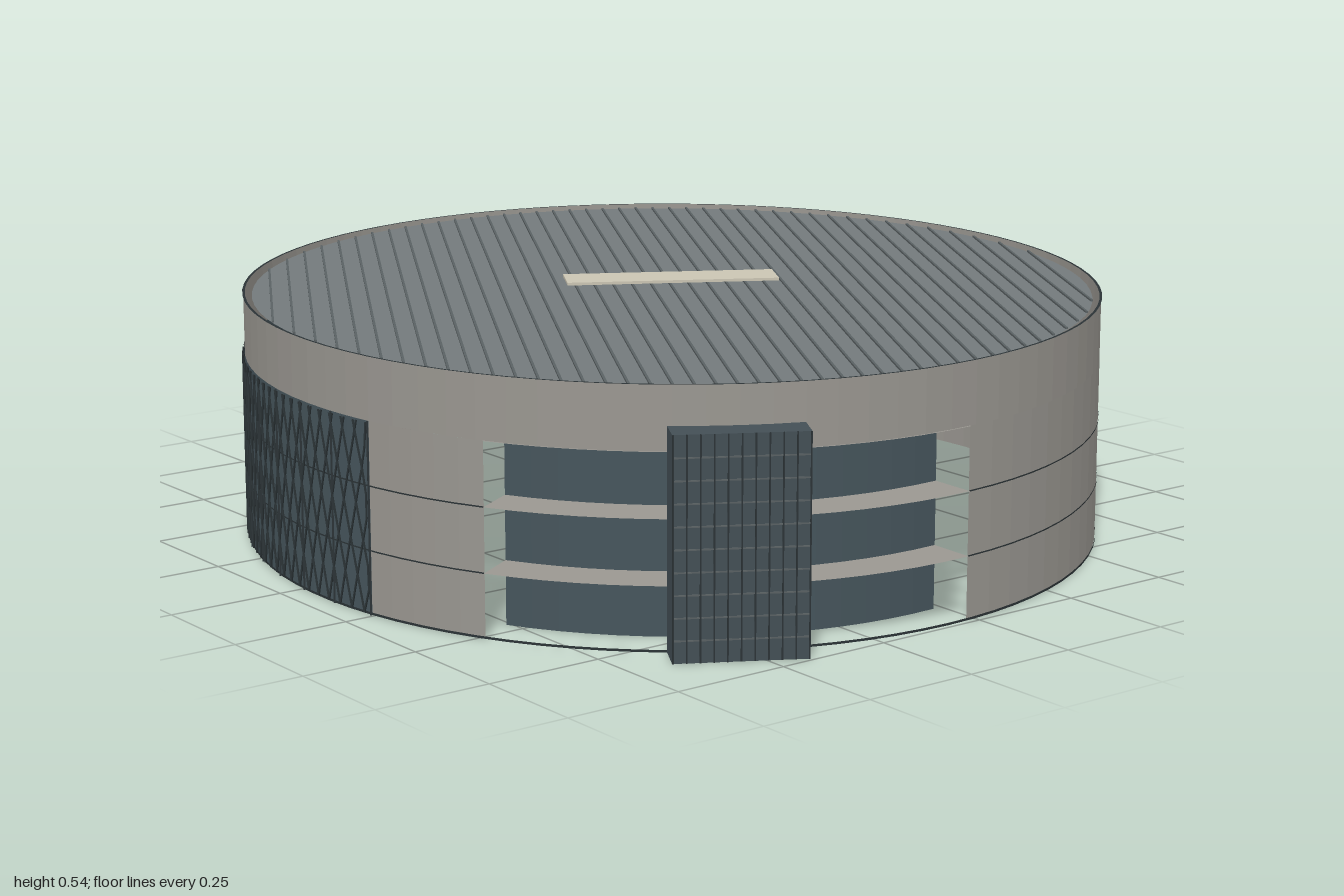
import * as THREE from 'three';

const A = 1.012, B = 0.922;            // half axes of the oval plan
const RAD = Math.PI / 180;
const H = 0.525, SILL = 0.395;         // wall top, underside of the upper band
const DOOR = 31, P0 = 48, P1 = 130;    // opening half angle, screen start and end

const paint = (color) => new THREE.MeshStandardMaterial({ color, side: THREE.DoubleSide, flatShading: true });

// Point on the plan oval, scaled by s, at height y
const oval = (deg, s, y) =>
  new THREE.Vector3(A * s * Math.cos(deg * RAD), y, B * s * Math.sin(deg * RAD));

// Strip along the oval between two profile points [scale, height]
function band(t0, t1, [s0, y0], [s1, y1]) {
  const n = Math.max(2, Math.ceil((t1 - t0) / 4));
  const pos = [], idx = [];
  for (let i = 0; i <= n; i++) {
    const t = t0 + (t1 - t0) * i / n;
    pos.push(...oval(t, s0, y0).toArray(), ...oval(t, s1, y1).toArray());
    if (i < n) {
      const k = i * 2;
      idx.push(k, k + 1, k + 2, k + 2, k + 1, k + 3);
    }
  }
  const g = new THREE.BufferGeometry();
  g.setAttribute('position', new THREE.Float32BufferAttribute(pos, 3));
  g.setIndex(idx);
  g.computeVertexNormals();
  return g;
}

export function createModel() {
  const root = new THREE.Group();
  root.name = 'exhibitionHall';
  const hall = new THREE.Group();
  hall.name = 'ovalHall';
  hall.rotation.y = -30 * RAD;
  hall.position.x = -0.003;
  root.add(hall);

  const wall = paint(0x9a9791), glass = paint(0x46555c), dark = paint(0x2b3336);
  const roofMat = paint(0x737a7c), seamMat = paint(0x5a6163);
  const add = (name, geo, mat, parent = hall) => {
    const m = new THREE.Mesh(geo, mat);
    m.name = name;
    parent.add(m);
    return m;
  };

  // Outer shell: continuous upper band, lower walls between the openings
  add('upperWall', band(0, 360, [1, SILL], [1, H]), wall);
  add('shortLowerWall', band(DOOR, P0, [1, 0], [1, SILL]), wall);
  add('longLowerWall', band(P1, 360 - DOOR, [1, 0], [1, SILL]), wall);

  // Thin rings at the base and top edge, fine joints at the storeys
  add('baseRing', band(0, 360, [1.002, 0], [1.002, 0.005]), dark);
  add('topRim', band(0, 360, [0.996, H], [1.002, H]), dark);
  for (const y of [0.132, 0.264]) {
    add('storeyJoint', band(DOOR, 360 - DOOR, [1.002, y - 0.0015], [1.002, y + 0.0015]), dark);
  }

  // Dark screen wall with a diagonal lattice
  add('screenWall', band(P0, P1, [1, 0], [1, SILL]), glass);
  const lattice = new THREE.Group();
  lattice.name = 'screenLattice';
  hall.add(lattice);
  const cells = 36, step = (P1 - P0) / cells, lean = 6;
  for (let i = 0; i < cells; i++) {
    for (const side of [-1, 1]) {
      const start = P0 + step * (i + 0.5);
      const pts = [];
      for (let k = 0; k <= 6; k++) {
        // Fold the bar back at the ends of the screen
        let t = start + side * lean * k / 6;
        if (t > P1) t = 2 * P1 - t;
        if (t < P0) t = 2 * P0 - t;
        pts.push(oval(t, 1.004, 0.003 + (SILL - 0.006) * k / 6));
      }
      add('latticeBar', new THREE.TubeGeometry(new THREE.CatmullRomCurve3(pts), 8, 0.0022, 4), dark, lattice);
    }
  }
  for (let i = 0; i <= 12; i++) {
    const t = P0 + (P1 - P0) * i / 12;
    const post = add('latticePost', new THREE.BoxGeometry(0.004, SILL, 0.004), dark, lattice);
    post.position.copy(oval(t, 1.004, SILL / 2));
  }

  // Recessed entrance glazing with gallery slabs
  add('entranceGlass', band(-DOOR, DOOR, [0.9, 0], [0.9, SILL]), glass);
  for (const y of [0.132, 0.264, SILL]) {
    add('gallerySlab', band(-DOOR, DOOR, [0.9, y], [1.004, y]), wall);
  }

  // Roof disc, set in from the wall, with long seams
  const RS = 0.98, RY = 0.517;
  add('roof', band(0, 360, [0, RY], [RS, RY]), roofMat);
  const seams = 44;
  for (let i = 1; i < seams; i++) {
    const z = B * RS * (2 * i / seams - 1);
    const len = 2 * A * RS * Math.sqrt(1 - (z / (B * RS)) ** 2) - 0.01;
    const seam = add('roofSeam', new THREE.BoxGeometry(len, 0.004, 0.005), seamMat);
    seam.position.set(0, RY + 0.002, z);
  }

  // Plain plate across the middle of the roof
  const plate = add('roofPlate', new THREE.BoxGeometry(0.1, 0.006, 0.46), paint(0xcac5b3));
  plate.position.y = 0.535;

  // Entrance portal with a gridded front
  const portal = new THREE.Group();
  portal.name = 'entrancePortal';
  portal.position.set(1.037, 0, 0.005);
  hall.add(portal);
  const PW = 0.265, PD = 0.078, PH = 0.445;
  add('portalBox', new THREE.BoxGeometry(PD, PH, PW), paint(0x434f55), portal).position.y = PH / 2;
  for (let i = 0; i <= 10; i++) {
    const fin = add('portalFin', new THREE.BoxGeometry(0.004, PH, 0.003), dark, portal);
    fin.position.set(PD / 2, PH / 2, (i / 10 - 0.5) * (PW - 0.003));
  }
  for (let i = 1; i < 10; i++) {
    const rail = add('portalRail', new THREE.BoxGeometry(0.003, 0.003, PW), seamMat, portal);
    rail.position.set(PD / 2, PH * i / 10, 0);
  }
  return root;
}
